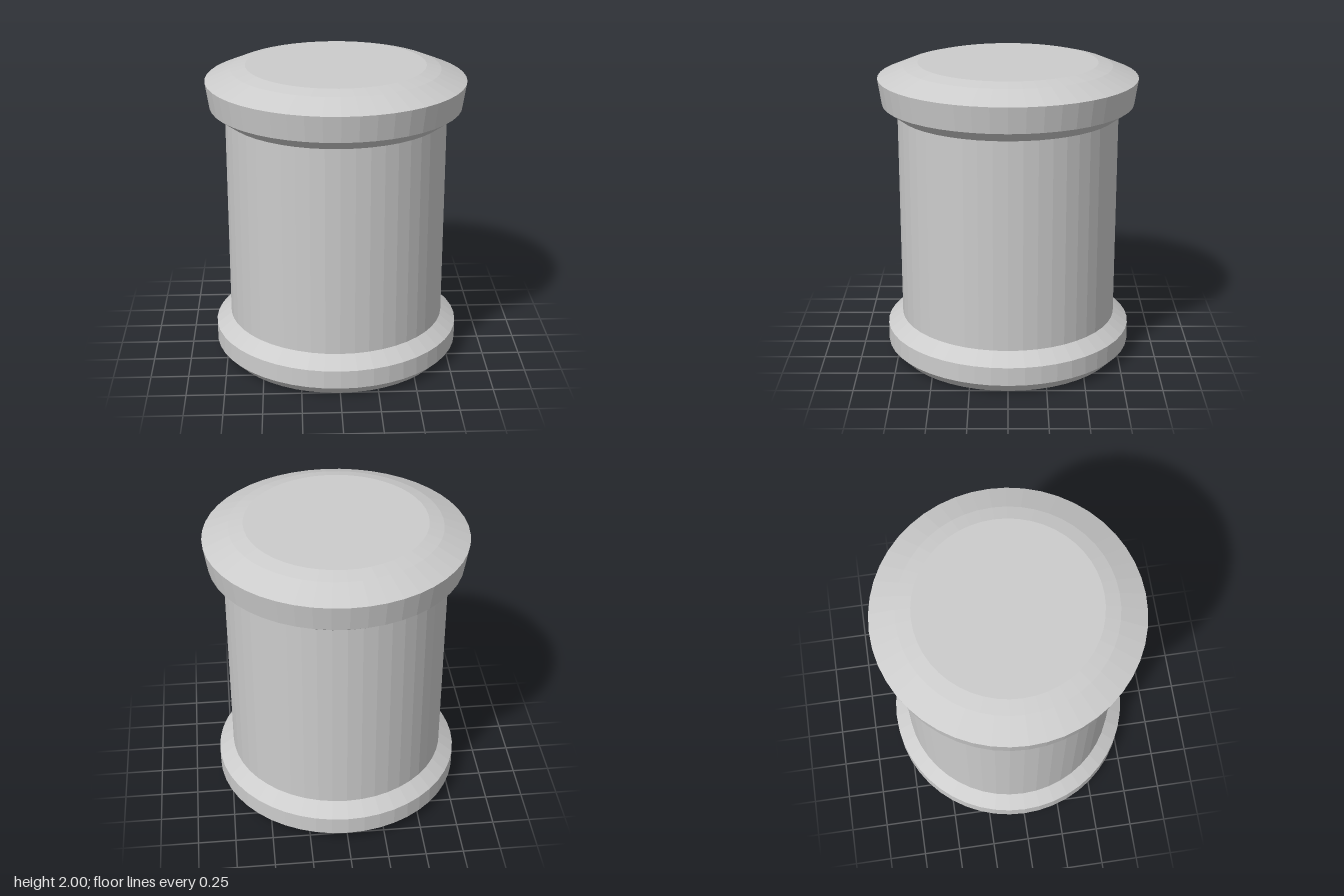
import * as THREE from 'three';

const SIDES = 48;

// Faceted ring of revolution from [radius, height] pairs, listed bottom to top
function turned(name, profile, material) {
  const points = profile.map(([r, y]) => new THREE.Vector2(r, y));
  const geometry = new THREE.LatheGeometry(points, SIDES).toNonIndexed();
  geometry.computeVertexNormals(); // flat facets
  const mesh = new THREE.Mesh(geometry, material);
  mesh.name = name;
  return mesh;
}

// Flat round end facing up (+1) or down (-1)
function endDisc(name, radius, y, direction, material) {
  const geometry = new THREE.CircleGeometry(radius, SIDES);
  geometry.rotateX(-direction * Math.PI / 2);
  geometry.translate(0, y, 0);
  const mesh = new THREE.Mesh(geometry, material);
  mesh.name = name;
  return mesh;
}

export function createModel() {
  const grey = new THREE.MeshStandardMaterial({ color: 0xcccccc });
  grey.name = 'light grey';

  const model = new THREE.Group();
  model.name = 'canister';

  model.add(
    // Bevelled foot
    endDisc('footUnderside', 0.755, 0, -1, grey),
    turned('foot', [[0.755, 0], [0.826, 0.072], [0.826, 0.196], [0.727, 0.27]], grey),
    // Straight barrel
    turned('barrel', [[0.727, 0.27], [0.727, 1.663]], grey),
    // Flared lid with a shallow crowned top
    turned('lid', [[0.727, 1.663], [0.826, 1.735], [0.852, 1.905], [0.683, 1.976], [0.588, 2]], grey),
    endDisc('lidTop', 0.588, 2, 1, grey),
  );

  return model;
}
